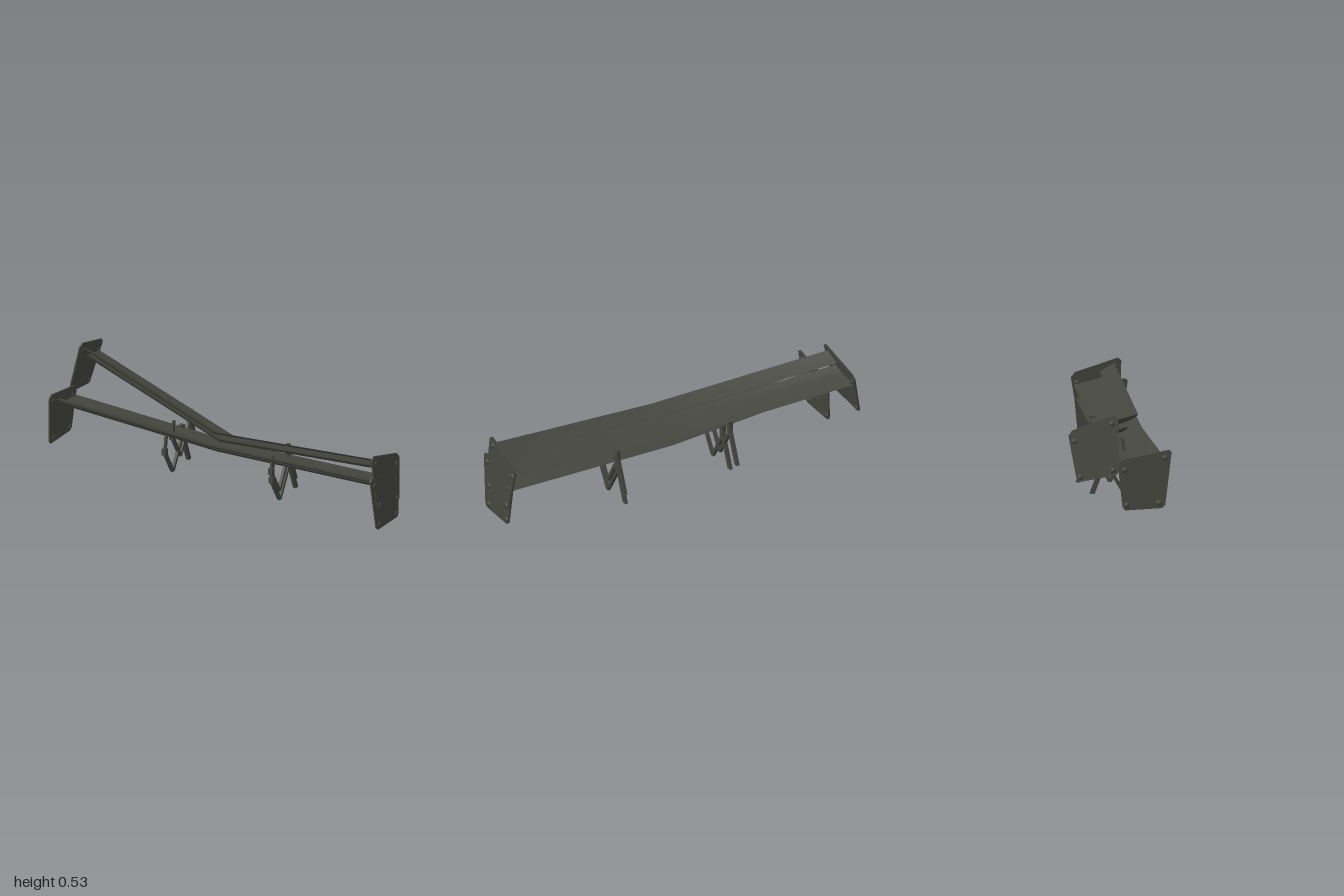
import * as THREE from 'three';
import { toCreasedNormals } from 'three/addons/utils/BufferGeometryUtils.js';

export function createModel() {
  const group = new THREE.Group();
  const carbon = new THREE.MeshStandardMaterial({ color: 0x45453f });
  carbon.name = 'darkCarbon';
  const teal = new THREE.MeshStandardMaterial({ color: 0x1c6f68 });
  teal.name = 'tealFoot';

  const add = (geo, name, parent = group, mat = carbon) => {
    const mesh = new THREE.Mesh(geo, mat);
    mesh.name = name;
    parent.add(mesh);
    return mesh;
  };

  // Flat panel drawn in (z, y), thickened along x; xAt(y) leans it sideways
  function panel(points, thickness, xAt) {
    const shape = new THREE.Shape(points.map(([z, y]) => new THREE.Vector2(-z, y)));
    const geo = new THREE.ExtrudeGeometry(shape, { depth: thickness, bevelEnabled: false });
    geo.translate(0, 0, -thickness / 2);
    geo.rotateY(Math.PI / 2);
    const p = geo.attributes.position;
    for (let i = 0; i < p.count; i++) p.setX(i, p.getX(i) + xAt(p.getY(i)));
    geo.computeVertexNormals();
    return geo;
  }

  // Wing blade: a thin curved section lofted through left tip, centre, right tip
  function blade(chord, thick, stations) {
    const curve = new THREE.CatmullRomCurve3(chord.map(([z, y]) => new THREE.Vector3(0, y, z)));
    const n = 8, section = [];
    for (let i = 0; i <= n; i++) section.push(curve.getPoint(i / n));
    for (let i = n - 1; i > 0; i--) {
      const q = curve.getPoint(i / n);
      q.y -= thick * Math.pow(Math.sin(Math.PI * Math.sqrt(i / n)), 0.7);
      section.push(q);
    }
    const m = section.length, pos = [], idx = [];
    stations.forEach(({ dz, dy, xAt }) => section.forEach((q) =>
      pos.push(xAt(q.y + dy), q.y + dy, q.z + dz)));
    for (let s = 0; s < stations.length - 1; s++) {
      for (let i = 0; i < m; i++) {
        const a = s * m + i, b = s * m + (i + 1) % m;
        idx.push(a, a + m, b, b, a + m, b + m);
      }
    }
    // Close the tips
    const last = (stations.length - 1) * m;
    for (let i = 1; i < m - 1; i++) idx.push(0, i, i + 1, last, last + i + 1, last + i);
    const geo = new THREE.BufferGeometry();
    geo.setAttribute('position', new THREE.Float32BufferAttribute(pos, 3));
    // Leading edge first along the section, so reverse to face outward
    for (let i = 0; i < idx.length; i += 3) [idx[i + 1], idx[i + 2]] = [idx[i + 2], idx[i + 1]];
    geo.setIndex(idx);
    return toCreasedNormals(orient(geo), 0.5);
  }

  // Flip the faces if the enclosed volume comes out negative
  function orient(geo) {
    const p = geo.attributes.position, id = geo.index.array;
    const a = new THREE.Vector3(), b = new THREE.Vector3(), c = new THREE.Vector3();
    let volume = 0;
    for (let i = 0; i < id.length; i += 3) {
      a.fromBufferAttribute(p, id[i]);
      b.fromBufferAttribute(p, id[i + 1]);
      c.fromBufferAttribute(p, id[i + 2]);
      volume += a.dot(b.cross(c));
    }
    if (volume < 0) {
      for (let i = 0; i < id.length; i += 3) [id[i + 1], id[i + 2]] = [id[i + 2], id[i + 1]];
    }
    return geo;
  }

  // Sideways lean of each end plate
  const upperRightX = (y) => -0.99 + (y - 0.2) * 0.24;
  const upperLeftX = (y) => 0.957 + (0.454 - y) * 0.1;
  const lowerRightX = (y) => -0.957 + (y - 0.05) * 0.08;
  const lowerLeftX = (y) => 0.985 - (y - 0.05) * 0.05;
  const centre = { dz: 0, dy: 0, xAt: () => 0 };

  // Wings: upper one is swept back and up on one side
  const upperStations = [{ dz: -0.243, dy: 0.147, xAt: upperRightX }, centre,
    { dz: -0.01, dy: 0.08, xAt: upperLeftX }];
  const lowerStations = [{ dz: 0, dy: 0.035, xAt: lowerRightX }, centre,
    { dz: 0, dy: 0.04, xAt: lowerLeftX }];
  add(blade([[0.205, 0.348], [0.178, 0.331], [0.131, 0.306]], 0.007, upperStations), 'upperFlap');
  add(blade([[0.153, 0.284], [0.113, 0.265], [-0.003, 0.238]], 0.012, upperStations), 'upperMainBlade');
  add(blade([[0.227, 0.275], [0.198, 0.261], [0.15, 0.245]], 0.007, lowerStations), 'lowerFlap');
  add(blade([[0.165, 0.229], [0.12, 0.213], [0, 0.203]], 0.012, lowerStations), 'lowerMainBlade');

  // End plates with clipped corners, each with four bolts
  const upperOutline = [[0.232, 0.44], [0.214, 0.454], [-0.006, 0.382], [-0.026, 0.355],
    [0.01, 0.14], [0.026, 0.126], [0.217, 0.157], [0.23, 0.176]];
  const upperBolts = [[0.2, 0.41], [0.006, 0.327], [0.2, 0.178], [0.03, 0.148]];
  const lowerOutline = [[0.267, 0.332], [0.253, 0.343], [0.01, 0.295], [-0.01, 0.272],
    [0.012, 0.053], [0.026, 0.038], [0.217, 0.046], [0.232, 0.062]];
  const lowerBolts = [[0.233, 0.302], [0.027, 0.244], [0.2, 0.07], [0.033, 0.063]];

  function endPlate(name, outline, bolts, xAt, dz = 0, dy = 0) {
    const g = new THREE.Group();
    g.name = name;
    group.add(g);
    add(panel(outline.map(([z, y]) => [z + dz, y + dy]), 0.008, xAt), name + 'Panel', g);
    bolts.forEach(([z, y]) => {
      const bolt = add(new THREE.SphereGeometry(0.017, 8, 4), 'bolt', g);
      bolt.scale.x = 0.7;
      bolt.position.set(xAt(y + dy), y + dy, z + dz);
    });
  }
  endPlate('upperLeftEndPlate', upperOutline, upperBolts, upperLeftX);
  endPlate('upperRightEndPlate', upperOutline, upperBolts, upperRightX, -0.238, 0.072);
  endPlate('lowerLeftEndPlate', lowerOutline, lowerBolts, lowerLeftX);
  endPlate('lowerRightEndPlate', lowerOutline, lowerBolts, lowerRightX);

  // Strut frame: rear leg, V brace and a front clevis, placed by its top joint
  function strut(name, x, z, y) {
    const g = new THREE.Group();
    g.name = name;
    g.position.set(x, y, z);
    group.add(g);
    const bar = (label, [z0, y0], [z1, y1], half, width = 0.016) =>
      add(panel([[z0 - half, y0], [z0 + half, y0], [z1 + half, y1], [z1 - half, y1]],
        width, () => 0), label, g);
    bar('rearLeg', [-0.068, -0.18], [0.004, 0.01], 0.013);
    bar('braceRear', [0.094, -0.18], [-0.002, -0.015], 0.01);
    bar('braceFront', [0.094, -0.18], [0.172, -0.045], 0.01);
    bar('topJoint', [0, -0.02], [0.004, 0.045], 0.014, 0.022);
    bar('frontClevis', [0.172, -0.055], [0.172, -0.02], 0.013, 0.024);
    bar('frontPost', [0.168, -0.025], [0.158, 0.045], 0.008, 0.012);
    [-0.068, 0.094].forEach((fz) => {
      const foot = add(new THREE.BoxGeometry(0.016, 0.004, 0.022), 'footPad', g, teal);
      foot.position.set(0, -0.18, fz);
    });
  }
  strut('lowerLeftStrut', 0.33, 0.001, 0.182);
  strut('lowerRightStrut', -0.305, 0.001, 0.182);
  strut('upperLeftStrut', 0.33, 0.006, 0.233);
  strut('upperRightStrut', -0.302, -0.07, 0.241);

  return group;
}
